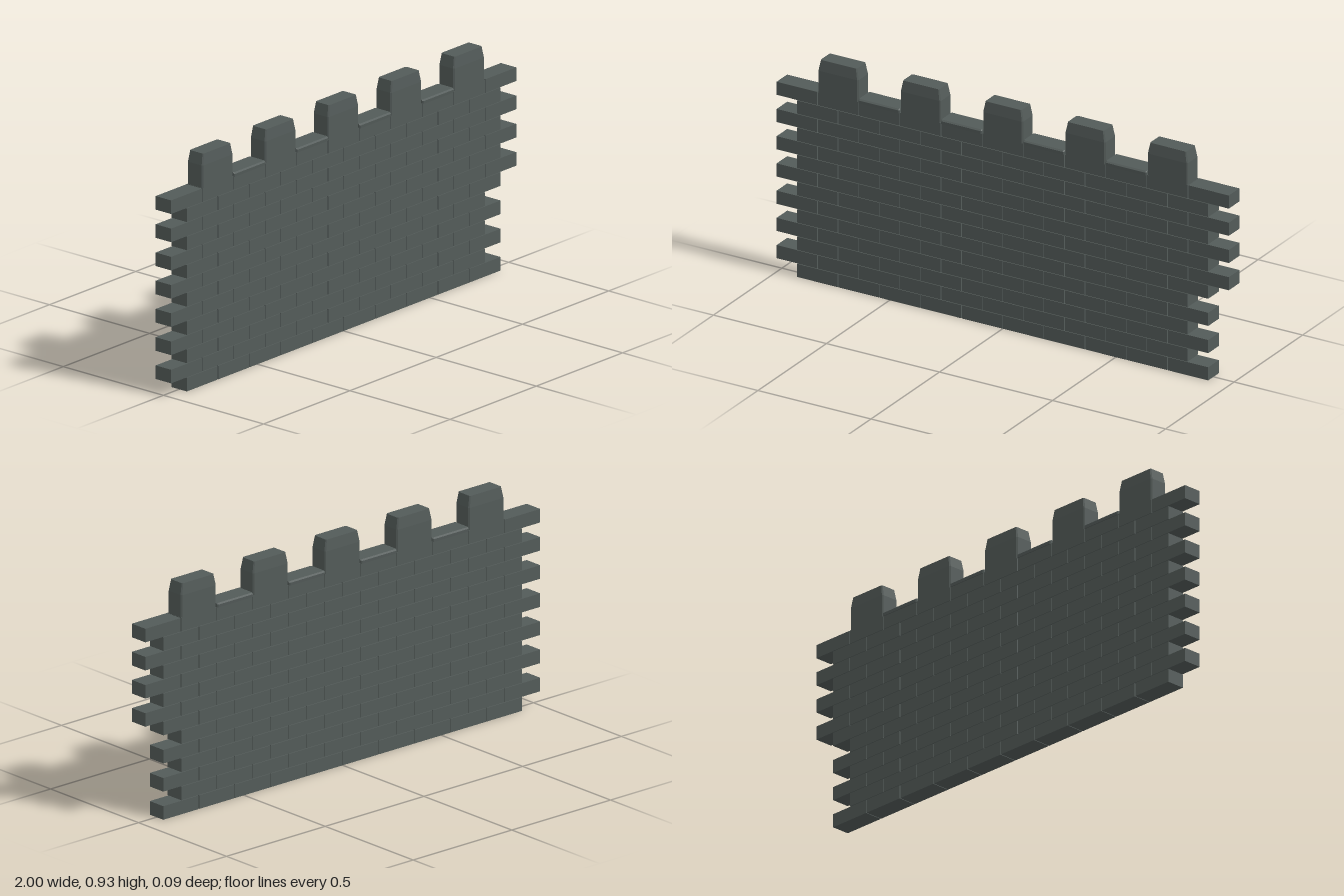
import * as THREE from 'three';

const PITCH_X = 0.1821, BRICK_W = 0.179;
const PITCH_Y = 0.0566, BRICK_H = 0.0545;
const DEPTH = 0.077, ROWS = 14;

// Block with chamfered upright corners and a tapered top, lofted from [y, halfX, halfZ, chamfer] rings
function chamferedBlock(rings) {
  const pos = [], index = [];
  for (const [y, a, b, c] of rings) {
    const ring = [[a, -b + c], [a, b - c], [a - c, b], [-a + c, b],
      [-a, b - c], [-a, -b + c], [-a + c, -b], [a - c, -b]];
    for (const [x, z] of ring) pos.push(x, y, z);
  }
  const last = (rings.length - 1) * 8;
  for (let r = 0; r < last; r += 8) {
    for (let i = 0; i < 8; i++) {
      const j = (i + 1) % 8;
      index.push(r + i, r + 8 + i, r + j, r + j, r + 8 + i, r + 8 + j);
    }
  }
  for (let i = 1; i < 7; i++) {
    index.push(0, i, i + 1, last, last + i + 1, last + i);
  }
  const g = new THREE.BufferGeometry();
  g.setAttribute('position', new THREE.Float32BufferAttribute(pos, 3));
  g.setIndex(index);
  const flat = g.toNonIndexed();
  flat.computeVertexNormals();
  return flat;
}

export function createModel() {
  const model = new THREE.Group();
  model.name = 'battlementWall';
  const stone = new THREE.MeshStandardMaterial({ color: 0x535b59, flatShading: true });
  stone.name = 'dark grey stone';

  const add = (parent, name, geometry, x, y) => {
    const mesh = new THREE.Mesh(geometry, stone);
    mesh.name = name;
    mesh.position.set(x, y, 0);
    parent.add(mesh);
  };
  const columnX = (i) => -1 + BRICK_W / 2 + i * PITCH_X;

  // Brick courses in running bond; the lower right end is stepped back
  const brick = new THREE.BoxGeometry(BRICK_W, BRICK_H, DEPTH);
  for (let row = 0; row < ROWS; row++) {
    const course = new THREE.Group();
    course.name = 'brickCourse';
    const odd = row % 2 === 1;
    const count = odd && row >= 7 ? 11 : 10;
    for (let i = 0; i < count; i++) {
      add(course, 'brick', brick, columnX(i + (odd ? 0 : 0.5)), row * PITCH_Y + BRICK_H / 2);
    }
    model.add(course);
  }

  // Merlons and the thin coping slabs between them
  const top = (ROWS - 1) * PITCH_Y + BRICK_H;
  const merlon = chamferedBlock([
    [0, 0.089, 0.0385, 0.005], [0.09, 0.089, 0.0385, 0.005], [0.135, 0.08, 0.034, 0.004]]);
  const coping = chamferedBlock([
    [-0.002, 0.091, 0.042, 0.004], [0.01, 0.091, 0.043, 0.004], [0.015, 0.09, 0.037, 0.004]]);
  for (let i = 1; i < 10; i++) {
    if (i % 2) add(model, 'merlon', merlon, columnX(i), top);
    else add(model, 'copingSlab', coping, columnX(i), top);
  }
  return model;
}
